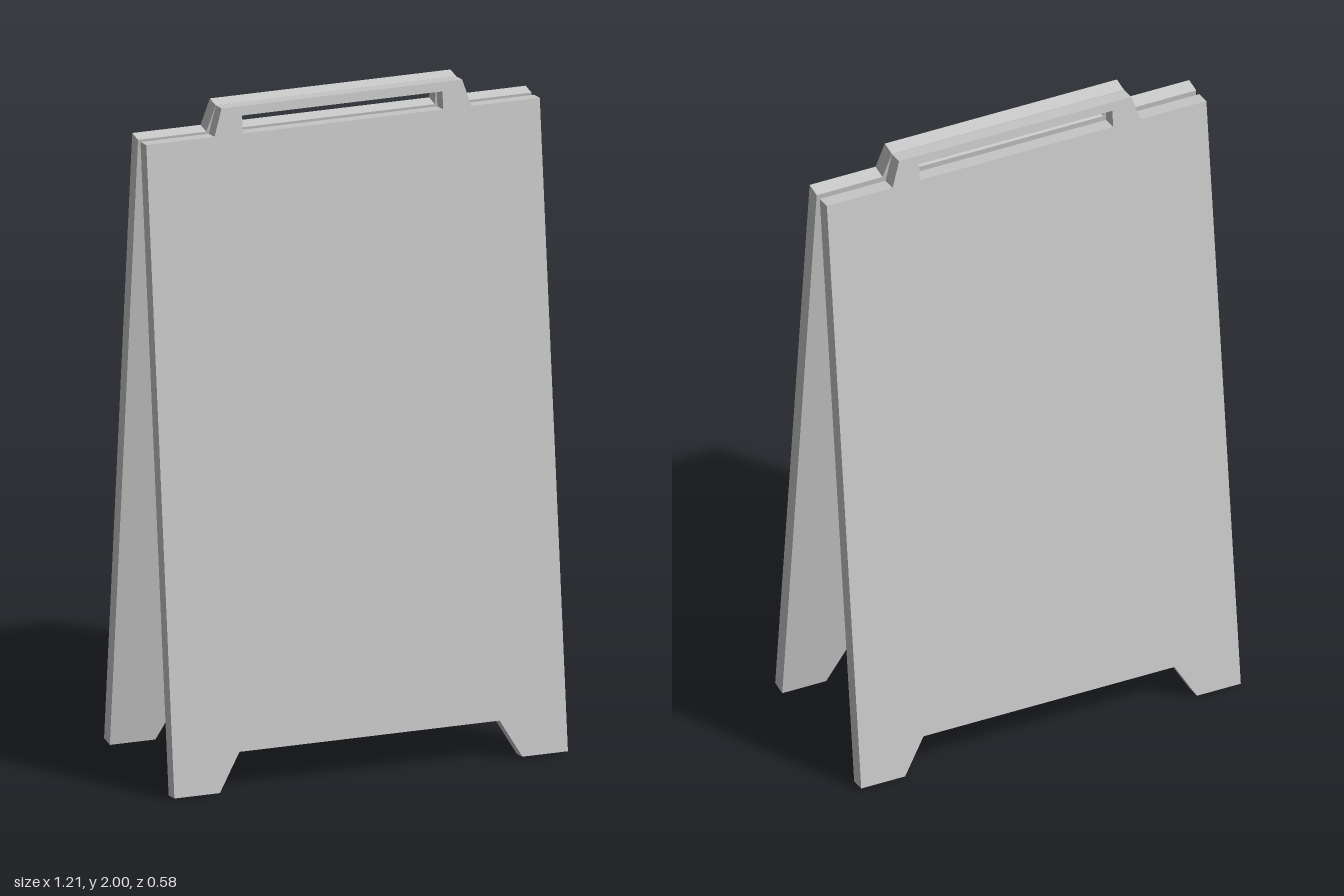
import * as THREE from 'three';

const LENGTH = 2.009;     // panel length along its slope
const THICKNESS = 0.048;
const TILT = Math.asin(0.12);

// Board outline: two feet, square shoulders and a tapered handle with a slot
function createPanelGeometry() {
  const half = [[0.40, 0.114], [0.465, 0], [0.605, 0], [0.605, 1.928], [0.395, 1.928], [0.37, LENGTH]];
  const mirrored = half.map(([x, y]) => [-x, y]).reverse();
  const shape = new THREE.Shape([...half, ...mirrored].map(([x, y]) => new THREE.Vector2(x, y)));
  const slot = [[-0.308, 1.928], [-0.308, 1.981], [0.308, 1.981], [0.308, 1.928]];
  shape.holes.push(new THREE.Path(slot.map(([x, y]) => new THREE.Vector2(x, y))));
  return new THREE.ExtrudeGeometry(shape, { depth: THICKNESS, bevelEnabled: false });
}

export function createModel() {
  const group = new THREE.Group();
  group.name = 'sandwichBoard';
  const material = new THREE.MeshStandardMaterial({ color: 0xcccccc, flatShading: true });
  const geometry = createPanelGeometry();

  // Two identical panels lean together and meet at the handle
  for (const [name, turn] of [['frontPanel', 0], ['backPanel', Math.PI]]) {
    const panel = new THREE.Mesh(geometry, material);
    panel.name = name;
    panel.position.z = LENGTH * Math.sin(TILT) + 0.0005;
    panel.rotation.x = -TILT;
    const side = new THREE.Group();
    side.name = name + 'Side';
    side.rotation.y = turn;
    side.add(panel);
    group.add(side);
  }
  return group;
}
